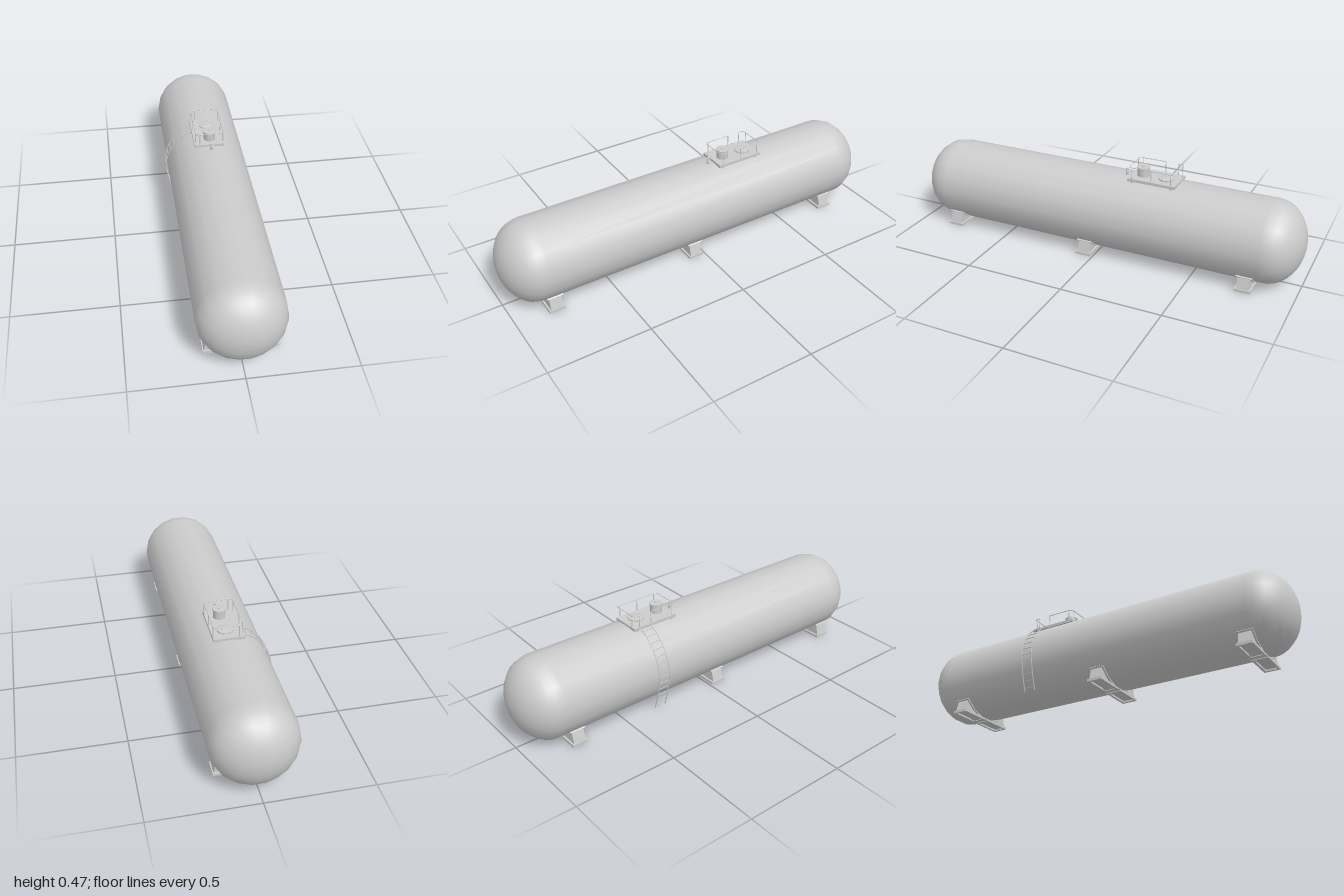
import * as THREE from 'three';

const CX = 0.005, CY = 0.207, R = 0.2, SIDES = 18;
const mat = new THREE.MeshStandardMaterial({ color: 0xcccccc, side: THREE.DoubleSide });

function add(parent, name, geo, x = 0, y = 0, z = 0) {
  const m = new THREE.Mesh(geo, mat);
  m.name = name;
  m.position.set(x, y, z);
  parent.add(m);
  return m;
}

// Straight rod between two points
function rod(parent, name, a, b, r) {
  const d = b.clone().sub(a);
  const m = add(parent, name, new THREE.CylinderGeometry(r, r, d.length(), 6));
  m.position.copy(a).addScaledVector(d, 0.5);
  m.quaternion.setFromUnitVectors(new THREE.Vector3(0, 1, 0), d.normalize());
  return m;
}

// Extrusion centred on z
function slab(points, depth) {
  const shape = new THREE.Shape(points.map(([x, y]) => new THREE.Vector2(x, y)));
  return new THREE.ExtrudeGeometry(shape, { depth, bevelEnabled: false }).translate(0, 0, -depth / 2);
}

// Points on the underside facets of the shell, angles in degrees
const under = (r, angles) => angles.map(a => {
  const t = a * Math.PI / 180;
  return [r * Math.cos(t), CY + r * Math.sin(t)];
});

// Shell with domed ends
function tank() {
  const pts = [], n = 10, straight = 0.84, dome = 0.16;
  for (let i = 0; i <= n; i++) {
    const t = i / n * Math.PI / 2;
    pts.push(new THREE.Vector2(Math.max(R * Math.sin(t), 1e-5), -straight - dome * Math.cos(t)));
  }
  pts.push(new THREE.Vector2(R, -straight + 0.01));
  const all = pts.concat(pts.slice().reverse().map(p => new THREE.Vector2(p.x, -p.y)));
  return new THREE.LatheGeometry(all, SIDES, Math.PI / 2).rotateX(Math.PI / 2);
}

// Support: curved bearing plate, two webs and two open footings
function saddle() {
  const g = new THREE.Group();
  g.name = 'saddle';
  const arc = [-41, -60, -80, -100, -120, -139];
  add(g, 'bearingPlate', slab([...under(R - 0.002, arc), ...under(R + 0.006, arc).reverse()], 0.078));
  for (const s of [1, -1]) {
    const web = [[0.163, 0.012], [0.148, 0.07], ...under(R + 0.001, [-43, -60, -78]), [0.04, 0.012]];
    add(g, 'web', slab(web.map(([x, y]) => [x * s, y]), 0.06));
    const plate = new THREE.Shape([[0.011, -0.039], [0.168, -0.039], [0.168, 0.039], [0.011, 0.039]]
      .map(([x, y]) => new THREE.Vector2(x * s, y)));
    plate.holes.push(new THREE.Path([[0.022, -0.028], [0.157, -0.028], [0.157, 0.028], [0.022, 0.028]]
      .map(([x, y]) => new THREE.Vector2(x * s, y))));
    add(g, 'footing', new THREE.ExtrudeGeometry(plate, { depth: 0.009, bevelEnabled: false }).rotateX(-Math.PI / 2));
    add(g, 'footingTop', new THREE.BoxGeometry(0.157, 0.004, 0.078), s * 0.0895, 0.011, 0);
  }
  return g;
}

// Walkway with handrail open at the ladder
function platform() {
  const g = new THREE.Group();
  g.name = 'platform';
  const x0 = -0.062, x1 = 0.076, z0 = -0.378, z1 = -0.15, top = 0.472, deck = 0.414;
  add(g, 'deck', new THREE.BoxGeometry(0.147, 0.014, 0.24), 0.0045, 0.408, -0.263);
  for (const x of [-0.058, 0.068]) for (const z of [-0.36, -0.165])
    add(g, 'deckLeg', new THREE.BoxGeometry(0.01, 0.028, 0.01), x, 0.39, z);
  const path = new THREE.CurvePath(), c = 0.016;
  const v = (x, z) => new THREE.Vector3(x, top, z);
  const line = (a, b) => path.add(new THREE.LineCurve3(a, b));
  const bend = (a, k, b) => path.add(new THREE.QuadraticBezierCurve3(a, k, b));
  line(v(x0, -0.35), v(x0, z0 + c));
  bend(v(x0, z0 + c), v(x0, z0), v(x0 + c, z0));
  line(v(x0 + c, z0), v(x1 - c, z0));
  bend(v(x1 - c, z0), v(x1, z0), v(x1, z0 + c));
  line(v(x1, z0 + c), v(x1, z1 - c));
  bend(v(x1, z1 - c), v(x1, z1), v(x1 - c, z1));
  line(v(x1 - c, z1), v(x0 + c, z1));
  bend(v(x0 + c, z1), v(x0, z1), v(x0, z1 - c));
  line(v(x0, z1 - c), v(x0, -0.285));
  add(g, 'handrail', new THREE.TubeGeometry(path, 150, 0.002, 6));
  const posts = [[x0, -0.35], [x0 + c + 0.004, z0], [x1, z0 + c], [x1, -0.264], [x1, z1 - c],
    [x0 + c + 0.004, z1], [x0, z1 - c], [x0, -0.285]];
  for (const [x, z] of posts) rod(g, 'railPost', new THREE.Vector3(x, deck, z), v(x, z), 0.002);
  return g;
}

// Turned part from [radius, height] pairs
const turned = (pts, n = 18) =>
  new THREE.LatheGeometry(pts.map(([r, y]) => new THREE.Vector2(r, y)), n).toNonIndexed();

function lathePart(parent, name, pts, x, y, z, n) {
  const geo = turned(pts, n);
  geo.computeVertexNormals();
  return add(parent, name, geo, x, y, z);
}

function fittings() {
  const g = new THREE.Group();
  g.name = 'fittings';
  const x = 0.012;
  // Tall dome housing with rimmed lid
  lathePart(g, 'housing', [[0.029, 0], [0.029, 0.044], [0.032, 0.044], [0.032, 0.048], [0.008, 0.049],
    [0.008, 0.052], [0, 0.052]], x, 0.413, -0.2);
  // Low manhole with cover and bolts
  lathePart(g, 'manhole', [[0.032, 0], [0.032, 0.006], [0.038, 0.006], [0.038, 0.011], [0.02, 0.014],
    [0, 0.015]], x, 0.413, -0.318);
  for (let i = 0; i < 8; i++) {
    const a = (i + 0.5) / 8 * Math.PI * 2;
    add(g, 'bolt', new THREE.CylinderGeometry(0.0025, 0.0025, 0.012, 6),
      x + 0.034 * Math.cos(a), 0.42, -0.318 + 0.034 * Math.sin(a));
  }
  // Small relief valve in front of the deck
  lathePart(g, 'valve', [[0.008, 0], [0.008, 0.018], [0.005, 0.019], [0.005, 0.022], [0.01, 0.022],
    [0.01, 0.026], [0.005, 0.028], [0.007, 0.032], [0.006, 0.038], [0, 0.04]], x, 0.4, -0.117, 8);
  return g;
}

// Ladder curving down the shell
function ladder() {
  const g = new THREE.Group();
  g.name = 'ladder';
  const profile = [[-0.068, 0.403], [-0.11, 0.385], [-0.15, 0.348], [-0.185, 0.292], [-0.2, 0.245],
    [-0.205, 0.205], [-0.2, 0.16], [-0.187, 0.095], [-0.166, 0.022]];
  const curve = new THREE.CatmullRomCurve3(profile.map(([x, y]) => new THREE.Vector3(x, y, 0)));
  for (const z of [-0.29, -0.348]) add(g, 'ladderRail', new THREE.TubeGeometry(curve, 28, 0.0028, 6), 0, 0, z);
  for (let i = 0; i < 13; i++) {
    const p = curve.getPointAt((i + 0.5) / 13);
    rod(g, 'rung', p.clone().setZ(-0.29), p.clone().setZ(-0.348), 0.002);
  }
  return g;
}

export function createModel() {
  const model = new THREE.Group();
  model.name = 'storageTank';
  add(model, 'tank', tank(), CX, CY, 0);
  for (const z of [0.8, 0.05, -0.763]) {
    const s = saddle();
    s.position.set(CX, 0, z);
    model.add(s);
  }
  model.add(platform(), fittings(), ladder());
  return model;
}
